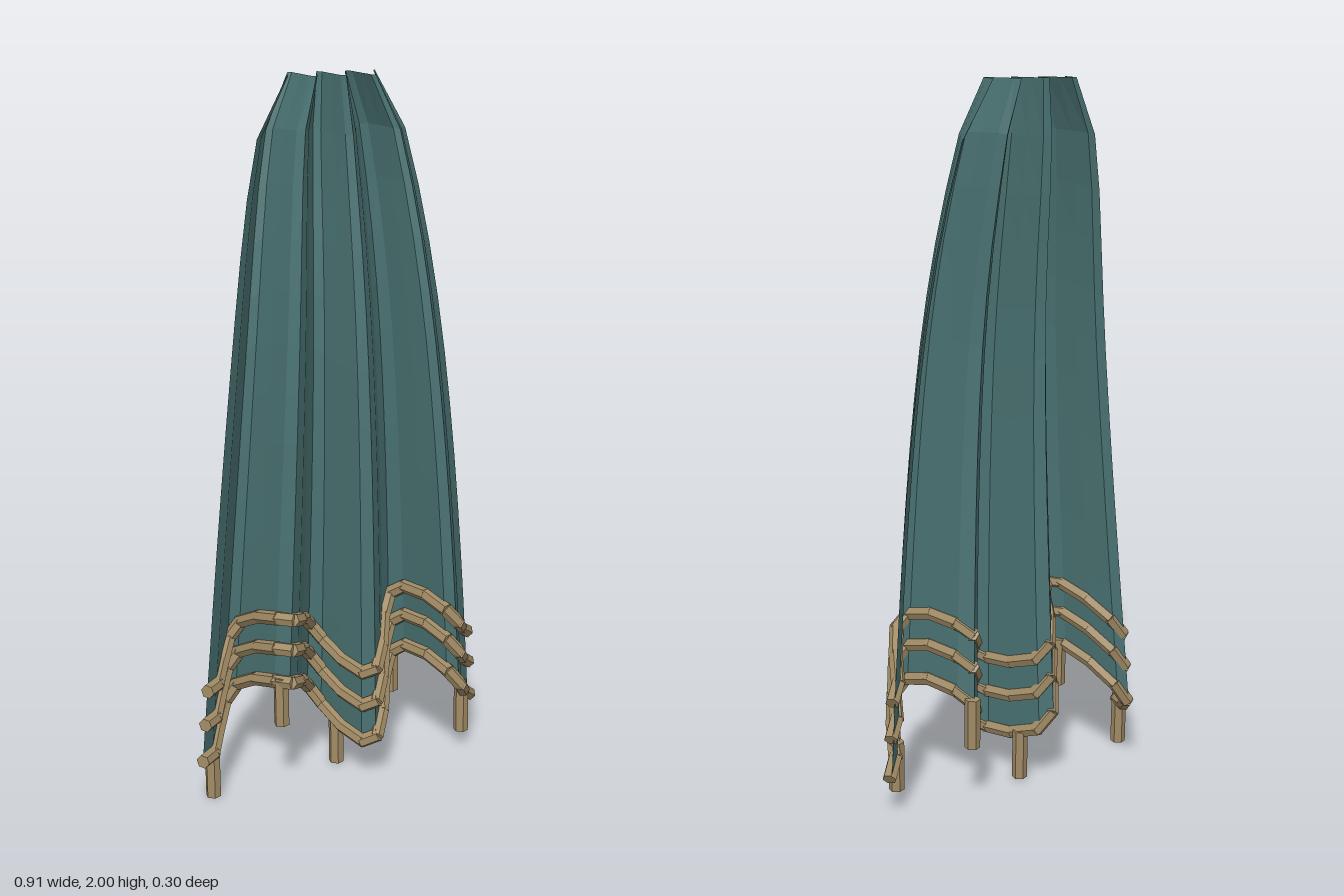
import * as THREE from 'three';

const COLS = 24, ROWS = 12, PLEATS = 3.5;

// Wavy lower hem height across the cloth (u: 0 = right edge, 1 = left edge)
const hemY = (u) => 0.245 - 0.11 * Math.cos((2 * Math.PI * (u - 0.025)) / 0.505) - 0.02 * u;

// Sideways lean of the cloth from top (v = 0) to hem (v = 1)
const LEAN = [-0.085, -0.07, -0.048, -0.024, -0.005, 0.008, 0.015, 0.019, 0.02, 0.019, 0.017, 0.013, 0.009];
function lean(v) {
  const i = Math.min(Math.floor(v * ROWS), ROWS - 1);
  return THREE.MathUtils.lerp(LEAN[i], LEAN[i + 1], v * ROWS - i);
}

// Point on the pleated cloth
function clothPoint(u, v) {
  const half = 0.14 + 0.295 * Math.sqrt(v);
  const depth = 0.065 + 0.048 * v;
  return new THREE.Vector3(
    (2 * u - 1) * half,
    2 - v * (2 - hemY(u)),
    lean(v) + depth * Math.cos(2 * Math.PI * PLEATS * u)
  );
}

// Pleated sheet
function clothGeometry() {
  const geo = new THREE.PlaneGeometry(1, 1, COLS, ROWS);
  const pos = geo.attributes.position;
  for (let r = 0; r <= ROWS; r++) {
    for (let c = 0; c <= COLS; c++) {
      const p = clothPoint(c / COLS, r / ROWS);
      pos.setXYZ(r * (COLS + 1) + c, p.x, p.y, p.z);
    }
  }
  geo.computeVertexNormals();
  return geo;
}

// Six-sided rod between two points
function rod(a, b, radius, material, name) {
  const dir = b.clone().sub(a);
  const mesh = new THREE.Mesh(new THREE.CylinderGeometry(radius, radius, dir.length(), 6), material);
  mesh.position.copy(a).add(b).multiplyScalar(0.5);
  mesh.quaternion.setFromUnitVectors(new THREE.Vector3(0, 1, 0), dir.normalize());
  mesh.name = name;
  return mesh;
}

export function createModel() {
  const group = new THREE.Group();
  group.name = 'pleatedCape';

  const teal = new THREE.MeshStandardMaterial({ color: 0x4a7272, side: THREE.DoubleSide, flatShading: true });
  teal.name = 'teal cloth';
  const tan = new THREE.MeshStandardMaterial({ color: 0xa08a64, flatShading: true });
  tan.name = 'tan trim';

  const cloth = new THREE.Mesh(clothGeometry(), teal);
  cloth.name = 'cloth';
  group.add(cloth);

  // Three rows of cord trim following the hem
  [1, 0.94, 0.885].forEach((v, i) => {
    const trim = new THREE.Group();
    trim.name = 'trim' + (i + 1);
    const at = (c) => clothPoint(c / COLS, v).add(new THREE.Vector3(0, 0, 0.013));
    for (let c = 0; c < COLS; c++) {
      const a = at(c), b = at(c + 1);
      // slight overlap at each joint
      const extra = b.clone().sub(a).setLength(0.006);
      trim.add(rod(a.sub(extra), b.add(extra), 0.02, tan, 'trimSegment'));
    }
    group.add(trim);
  });

  // Hanging tassels
  for (const u of [0.04, 0.265, 0.49, 0.715, 0.94]) {
    const top = clothPoint(u, 1);
    const bottom = top.clone();
    bottom.y = Math.max(0, hemY(u) - 0.135);
    top.y += 0.01;
    bottom.z += 0.004;
    group.add(rod(bottom, top, 0.022, tan, 'tassel'));
  }
  return group;
}
